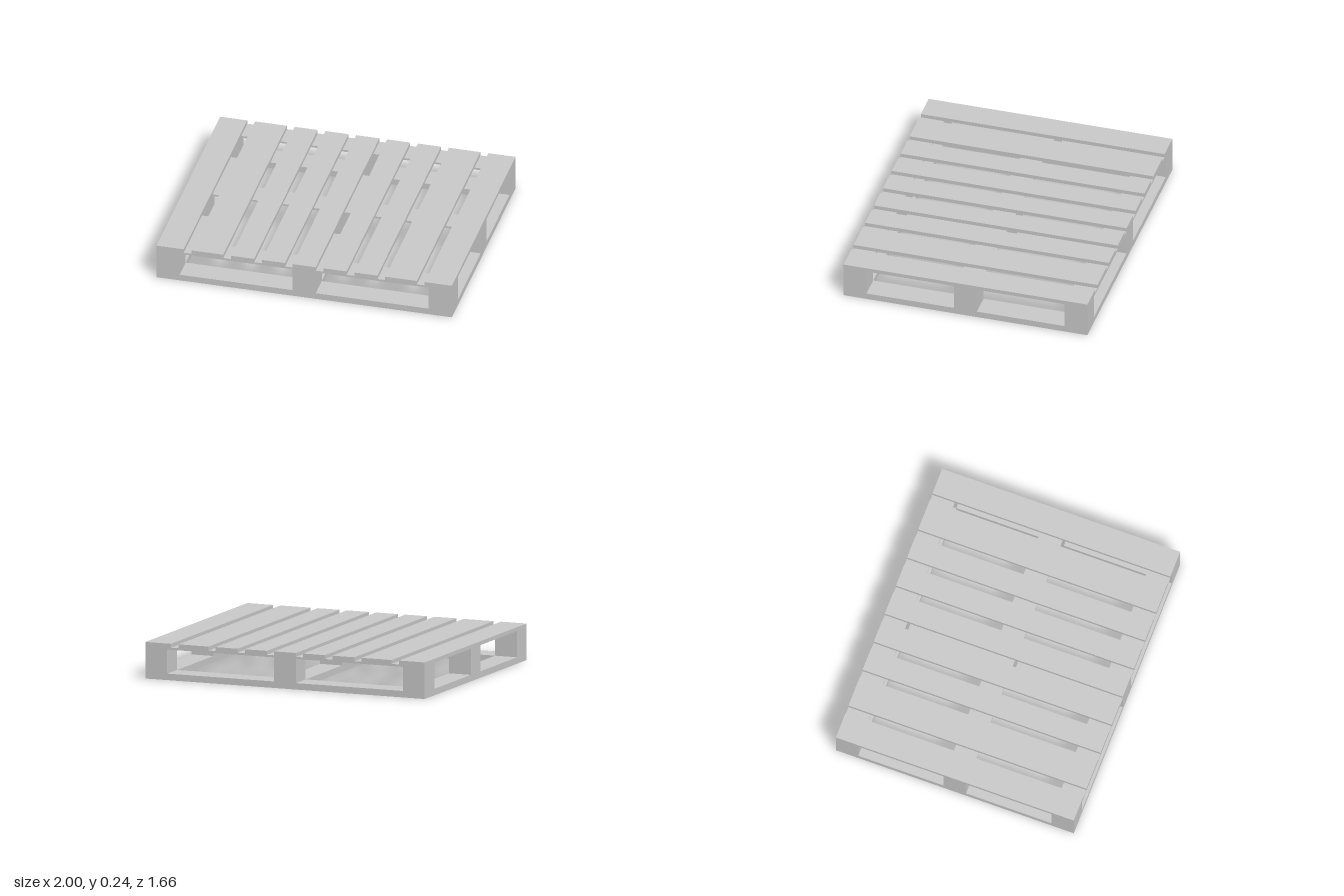
import * as THREE from 'three';

const HALF_X = 1, HALF_Z = 0.832, W = 0.157;   // overall half sizes, block and board width
const Y = { base: 0.043, block: 0.203, stringer: 0.217, top: 0.243 }; // top of each layer

export function createModel() {
  const group = new THREE.Group();
  const material = new THREE.MeshStandardMaterial({ color: 0xcccccc, flatShading: true });

  // Box given by its limits on each axis
  const board = (name, x0, x1, y0, y1, z0, z1) => {
    const mesh = new THREE.Mesh(new THREE.BoxGeometry(x1 - x0, y1 - y0, z1 - z0), material);
    mesh.position.set((x0 + x1) / 2, (y0 + y1) / 2, (z0 + z1) / 2);
    mesh.name = name;
    group.add(mesh);
  };

  const columns = [-HALF_X + W / 2, 0, HALF_X - W / 2];
  const rows = [-HALF_Z + W / 2, 0, HALF_Z - W / 2];

  // Three base runners from front to back
  for (const x of columns) board('baseRunner', x - W / 2, x + W / 2, 0, Y.base, -HALF_Z, HALF_Z);

  // Short base boards closing the front and back between the runners
  for (const z of [rows[0], rows[2]])
    for (let i = 0; i < 2; i++)
      board('baseCrossBoard', columns[i] + W / 2, columns[i + 1] - W / 2, 0, Y.base, z - W / 2, z + W / 2);

  // Nine spacer blocks
  for (const x of columns)
    for (const z of rows)
      board('spacerBlock', x - W / 2, x + W / 2, Y.base, Y.block, z - W / 2, z + W / 2);

  // Three thin stringers from side to side
  for (const z of rows) board('stringer', -HALF_X, HALF_X, Y.block, Y.stringer, z - W / 2, z + W / 2);

  // Deck slats, mirrored about the centre slat
  board('deckSlat', -W / 2, W / 2, Y.stringer, Y.top, -HALF_Z, HALF_Z);
  for (const [a, b] of [[0.13, 0.287], [0.339, 0.496], [0.548, 0.763], [0.816, 1]]) {
    board('deckSlat', a, b, Y.stringer, Y.top, -HALF_Z, HALF_Z);
    board('deckSlat', -b, -a, Y.stringer, Y.top, -HALF_Z, HALF_Z);
  }
  return group;
}
